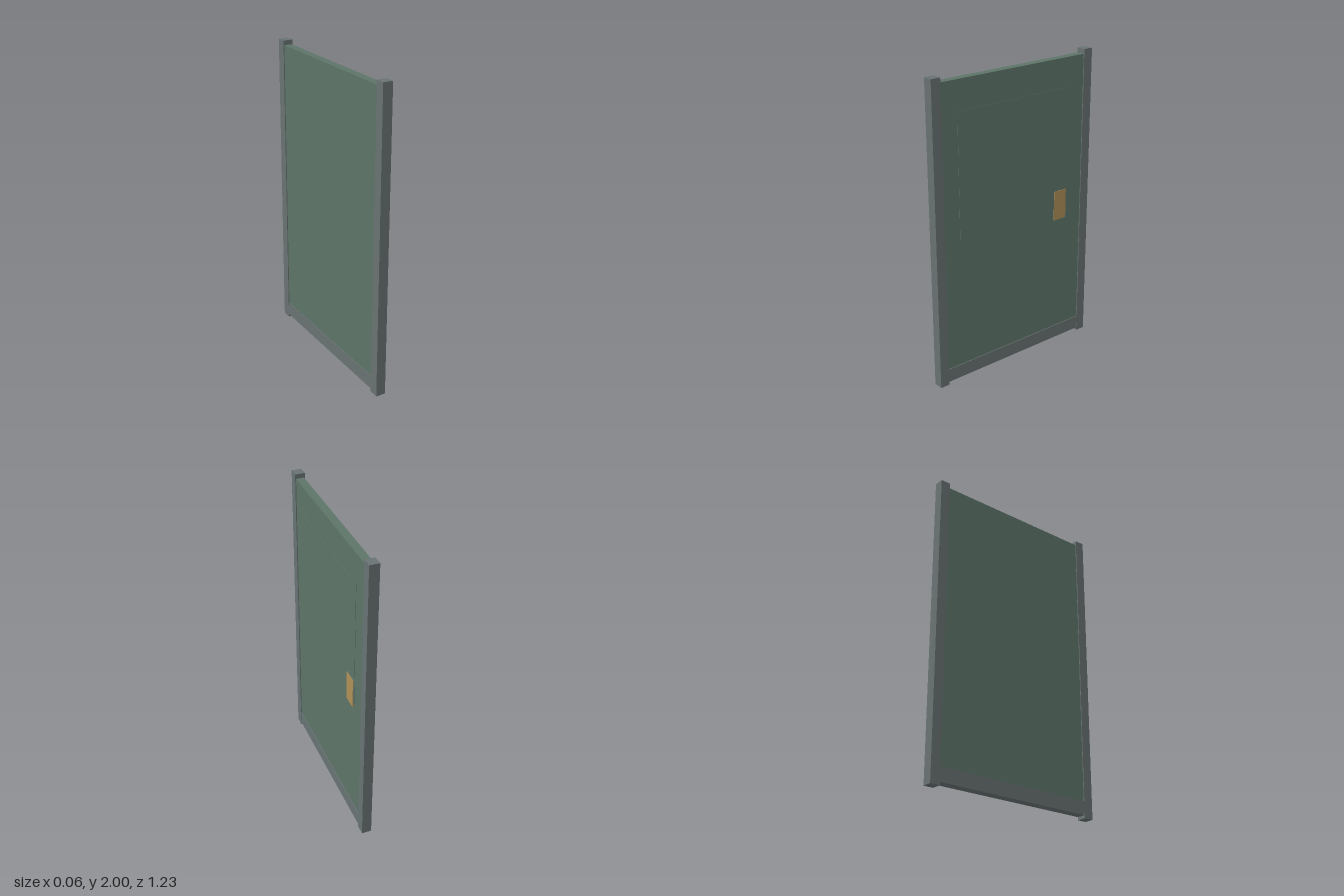
import * as THREE from 'three';

const material = (color) => new THREE.MeshStandardMaterial({ color });

export function createModel() {
  const door = new THREE.Group();
  door.name = 'door';
  const green = material(0x5d7468);
  const steel = material(0x687272);
  const brass = material(0xae8e57);

  // Box given by its lower and upper corners
  const box = (name, mat, [x0, y0, z0], [x1, y1, z1]) => {
    const mesh = new THREE.Mesh(new THREE.BoxGeometry(x1 - x0, y1 - y0, z1 - z0), mat);
    mesh.position.set((x0 + x1) / 2, (y0 + y1) / 2, (z0 + z1) / 2);
    mesh.name = name;
    door.add(mesh);
  };

  // Door leaf
  box('leaf', green, [-0.026, 0.03, -0.55], [0.026, 1.97, 0.55]);

  // Upright edge posts
  box('frontPost', steel, [-0.032, 0, 0.55], [0.032, 2, 0.615]);
  box('backPost', steel, [-0.032, 0, -0.615], [0.032, 2, -0.55]);

  // Kick rail along the bottom
  box('kickRail', steel, [-0.031, 0.02, -0.55], [0.031, 0.11, 0.55]);

  // Slightly raised upper panel and the push plate on the +x face
  box('raisedPanel', green, [0.024, 0.94, -0.435], [0.028, 1.78, 0.435]);
  box('pushPlate', brass, [0.024, 0.9, -0.42], [0.031, 1.1, -0.32]);

  return door;
}
